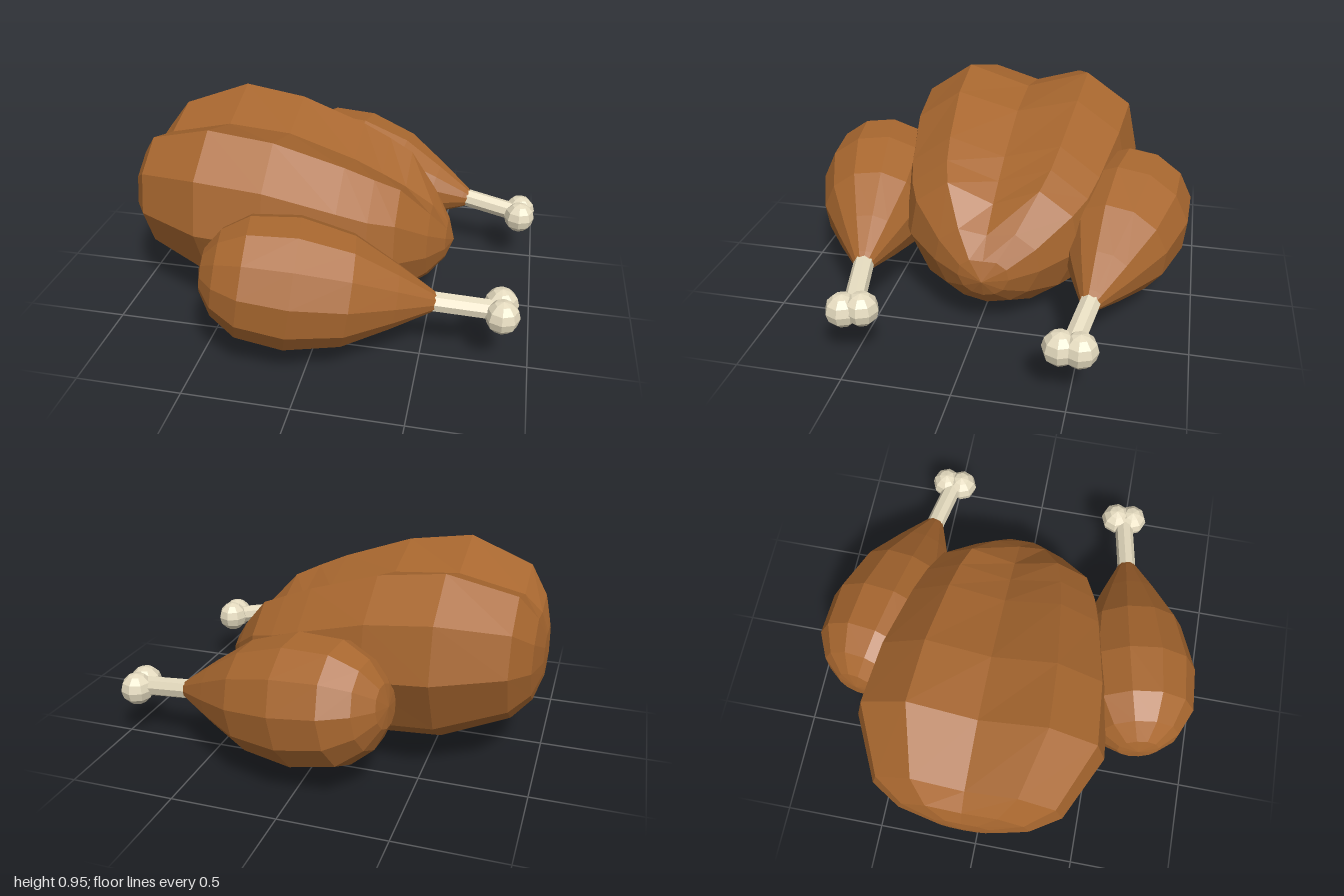
import * as THREE from 'three';

const skin = new THREE.MeshStandardMaterial({ color: 0xa8672f, flatShading: true });
const bone = new THREE.MeshStandardMaterial({ color: 0xe6dcc0, flatShading: true });

// Body stations along x: [x, half width, bottom y, ridge y, valley y]
const STATIONS = [
  [-1.0, 0, 0.52, 0.52, 0.52],
  [-0.99, 0.14, 0.4, 0.63, 0.62],
  [-0.955, 0.31, 0.3, 0.74, 0.71],
  [-0.87, 0.45, 0.21, 0.86, 0.79],
  [-0.56, 0.6, 0.085, 0.958, 0.86],
  [-0.25, 0.575, 0.06, 0.915, 0.835],
  [0.08, 0.51, 0.005, 0.805, 0.725],
  [0.22, 0.47, 0.01, 0.745, 0.66],
  [0.34, 0.41, 0.06, 0.69, 0.6],
  [0.48, 0.25, 0.15, 0.53, 0.51],
  [0.56, 0.12, 0.24, 0.42, 0.42],
  [0.595, 0, 0.33, 0.33, 0.33],
];
// One side of the cross-section: [fraction of half width, fraction of height]
const SIDE = [[0.45, 0.065], [0.78, 0.22], [1, 0.53], [0.91, 0.82], [0.53, 1]];
const BODY_Z = -0.045;

function bodyGeometry() {
  const pos = [], idx = [];
  for (const [x, w, lo, hi, valley] of STATIONS) {
    const side = SIDE.map(([fw, fh]) => [fw * w, lo + fh * (hi - lo)]);
    const mirrored = side.map(([z, y]) => [-z, y]).reverse();
    const ring = [[0, lo], ...side, [0, valley], ...mirrored];
    for (const [z, y] of ring) pos.push(x, y, z + BODY_Z);
  }
  const n = SIDE.length * 2 + 2, last = STATIONS.length - 2;
  for (let i = 0; i <= last; i++) {
    for (let j = 0; j < n; j++) {
      const a = i * n + j, a1 = i * n + (j + 1) % n, b = a + n, b1 = a1 + n;
      if (i > 0) idx.push(a, b, a1);
      if (i < last) idx.push(a1, b, b1);
    }
  }
  const g = new THREE.BufferGeometry();
  g.setAttribute('position', new THREE.Float32BufferAttribute(pos, 3));
  g.setIndex(idx);
  g.computeVertexNormals();
  return g;
}

function part(name, geometry, material) {
  const m = new THREE.Mesh(geometry, material);
  m.name = name;
  return m;
}

// Meat profile: [radius, distance from the thick end]
const MEAT = [[0, 0], [0.1, 0.015], [0.2, 0.08], [0.28, 0.2], [0.307, 0.42],
  [0.258, 0.67], [0.15, 0.88], [0.06, 1.04], [0.045, 1.065], [0, 1.065]];

// A leg runs from its thick end along the line towards its bone tip
function drumstick(name, start, tip, knuckles) {
  const leg = new THREE.Group();
  leg.name = name;
  const dir = tip.clone().sub(start);
  const length = dir.length();
  const aligned = new THREE.Group();
  aligned.name = name + 'Shaft';
  aligned.position.copy(start);
  aligned.quaternion.setFromUnitVectors(new THREE.Vector3(0, 1, 0), dir.normalize());

  const profile = MEAT.map(([r, d]) => new THREE.Vector2(r, d));
  aligned.add(part('meat', new THREE.LatheGeometry(profile, 12), skin));
  const shaft = part('bone', new THREE.CylinderGeometry(0.048, 0.048, length - 0.98, 8), bone);
  shaft.position.y = (length + 0.98) / 2;
  aligned.add(shaft);
  leg.add(aligned);

  // Paired knobs at the end of the bone
  for (const p of knuckles) {
    const knob = part('knuckle', new THREE.SphereGeometry(0.08, 8, 6), bone);
    knob.position.set(...p);
    leg.add(knob);
  }
  return leg;
}

export function createModel() {
  const model = new THREE.Group();
  model.name = 'roastBird';
  model.add(part('body', bodyGeometry(), skin));
  model.add(drumstick('frontDrumstick',
    new THREE.Vector3(-0.48, 0.485, 0.715), new THREE.Vector3(0.87, 0.285, 0.475),
    [[0.855, 0.295, 0.435], [0.865, 0.285, 0.52]]));
  model.add(drumstick('backDrumstick',
    new THREE.Vector3(-0.41, 0.465, -0.71), new THREE.Vector3(0.91, 0.27, -0.5),
    [[0.915, 0.27, -0.455], [0.915, 0.27, -0.54]]));
  return model;
}
